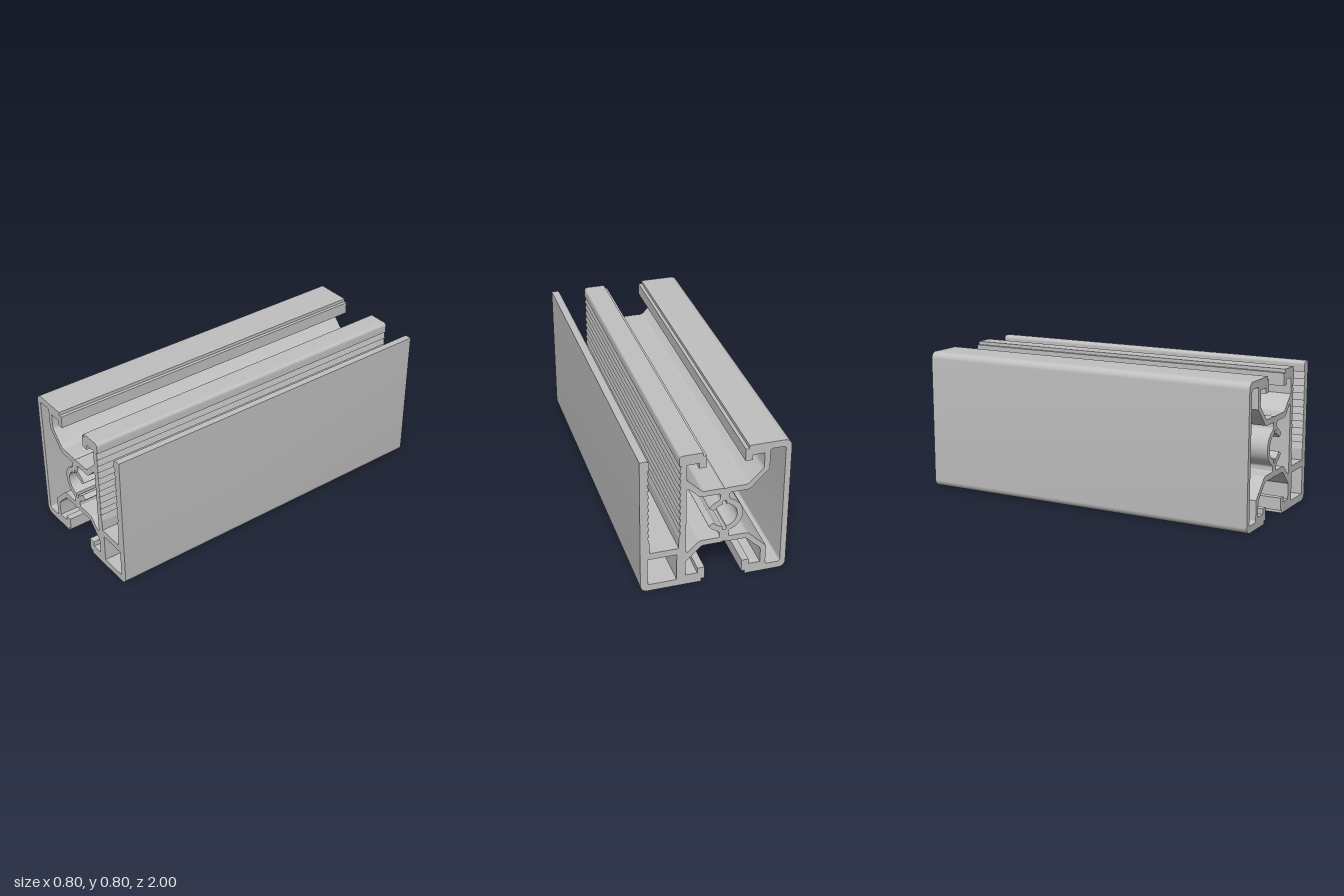
import * as THREE from 'three';
import { toCreasedNormals } from 'three/addons/utils/BufferGeometryUtils.js';

const HEIGHT = 0.8, LENGTH = 2;
const RING = { x: -0.05, y: 0.4, outer: 0.1, inner: 0.069 };

// Mirror a run of points about mid height, reversed so it continues the run
const mirror = (pts) => pts.map(([x, y, r]) => [x, HEIGHT - y, r]).reverse();

// Points on the screw-port ring, angles in degrees
function ringArc(radius, from, to) {
  const n = Math.ceil(Math.abs(to - from) / 7);
  return Array.from({ length: n + 1 }, (_, i) => {
    const a = THREE.MathUtils.degToRad(from + ((to - from) * i) / n);
    return [RING.x + radius * Math.cos(a), RING.y + radius * Math.sin(a)];
  });
}

// Closed contour through [x, y, fillet] points
function contour(points, PathType) {
  const path = new PathType();
  const v = points.map(([x, y]) => new THREE.Vector2(x, y));
  const out = [];
  points.forEach(([, , r], i) => {
    const p = v[i];
    if (!r) return out.push(p);
    const a = v[(i + v.length - 1) % v.length], b = v[(i + 1) % v.length];
    const t = Math.min(r, p.distanceTo(a) / 2, p.distanceTo(b) / 2);
    const s = p.clone().add(a.clone().sub(p).setLength(t));
    const e = p.clone().add(b.clone().sub(p).setLength(t));
    const curve = new THREE.CubicBezierCurve(s, s.clone().lerp(p, 0.55), e.clone().lerp(p, 0.55), e);
    out.push(...curve.getPoints(10));
  });
  return path.setFromPoints(out);
}

// T-slot with stepped lips, left to right
const slot = [
  [-0.172, 0.8], [-0.172, 0.781], [-0.153, 0.781], [-0.153, 0.711], [-0.192, 0.711], [-0.192, 0.741],
  [-0.256, 0.741], [-0.256, 0.653, 0.012], [-0.171, 0.568, 0.012],
  [-0.063, 0.568], [-0.05, 0.562], [-0.038, 0.568],
  [0.071, 0.568, 0.012], [0.155, 0.652], [0.155, 0.741],
  [0.091, 0.741], [0.091, 0.711], [0.052, 0.711], [0.052, 0.781], [0.071, 0.781], [0.071, 0.8],
];

// Sawtooth grip running down one wall of the side channel
function teeth(root, tip) {
  const pts = [];
  for (let i = 0; i < 11; i++) {
    const y = 0.741 - i * 0.04;
    pts.push([root, y], [tip, y - 0.04]);
  }
  return pts;
}

// Outer outline, counter-clockwise: slots, toothed side channel and rounded corners
const outline = [
  ...slot,
  [0.194, 0.8, 0.018], [0.194, 0.741], ...teeth(0.184, 0.194), [0.194, 0.239],
  [0.35, 0.239], ...teeth(0.36, 0.35).reverse(), [0.35, 0.741], [0.35, 0.8, 0.018],
  [0.4, 0.8], [0.4, 0, 0.038],
  ...mirror(slot),
  [-0.4, 0, 0.038], [-0.4, 0.8, 0.038],
].reverse();

// Closed chamber on the left, wrapping the back of the ring
const leftHalf = [
  [-0.369, 0.761, 0.012], [-0.286, 0.761, 0.012], [-0.286, 0.642], [-0.18, 0.536, 0.013],
  [-0.075, 0.536, 0.008], [-0.075, 0.503, 0.008],
];
const leftChamber = [...leftHalf, ...ringArc(RING.outer, 112, 248), ...mirror(leftHalf)];

// Chamber on the right, opening into the ring with its two grooves
const rightHalf = [
  [0.155, 0.595, 0.01], [0.142, 0.595, 0.008], [0.083, 0.536, 0.012],
  [-0.026, 0.536, 0.008], [-0.026, 0.503, 0.008],
  ...ringArc(RING.outer, 68, 45), [0.036, 0.456, 0.006], [0.009, 0.437, 0.006],
  ...ringArc(RING.inner, 42, 81.8), [-0.04, 0.491, 0.006],
  [-0.06, 0.491, 0.006], ...ringArc(RING.inner, 98.2, 180),
];
const rightChamber = [...rightHalf, ...mirror(rightHalf).slice(1)];

// Square chamber below the side channel
const squareChamber = [[0.204, 0.2], [0.36, 0.2], [0.36, 0.04], [0.204, 0.04]];

export function createModel() {
  const aluminium = new THREE.MeshStandardMaterial({ color: 0xc0c0c0 });
  aluminium.name = 'aluminium';

  const section = contour(outline, THREE.Shape);
  section.holes = [leftChamber, rightChamber, squareChamber].map((pts) => contour(pts, THREE.Path));

  // Extrude the section along its length, centred on z
  const extruded = new THREE.ExtrudeGeometry(section, { depth: LENGTH, bevelEnabled: false });
  extruded.translate(0, 0, -LENGTH / 2);
  const profile = new THREE.Mesh(toCreasedNormals(extruded, 0.24), aluminium);
  profile.name = 'extrudedProfile';

  const group = new THREE.Group();
  group.name = 'slottedProfileBar';
  group.add(profile);
  return group;
}
